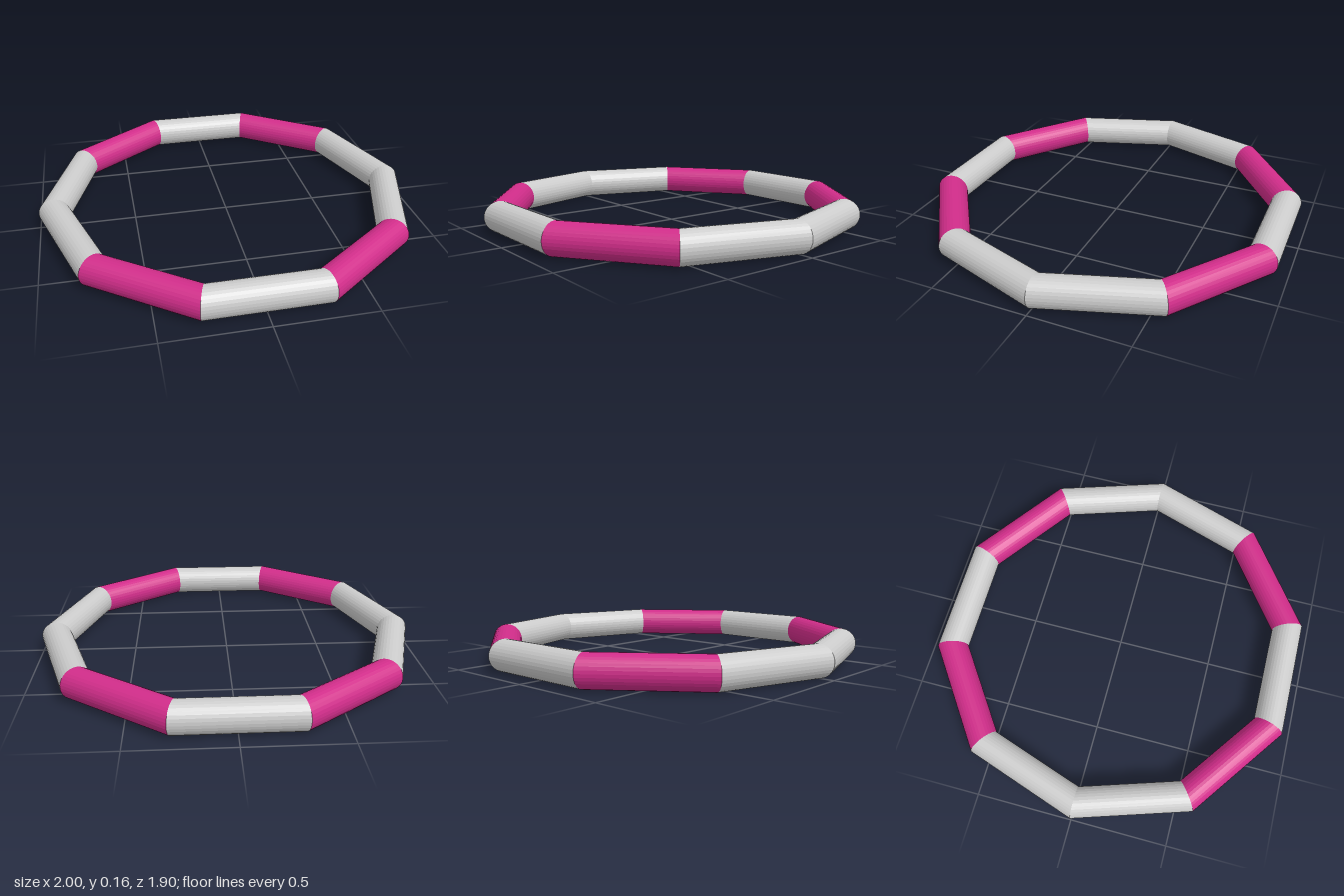
import * as THREE from 'three';

// Ten-sided ring of straight mitred tube sections, lying flat
export function createModel() {
  const sides = 10;
  const tubeRadius = 0.0815;
  const ringRadius = 1 - tubeRadius;
  const step = (Math.PI * 2) / sides;

  const grey = new THREE.MeshStandardMaterial({ color: 0xcccccc, flatShading: true, side: THREE.DoubleSide });
  const pink = new THREE.MeshStandardMaterial({ color: 0xd12d8a, flatShading: true, side: THREE.DoubleSide });

  // One straight section: a torus arc with a single step, laid into the xz plane
  const section = new THREE.TorusGeometry(ringRadius, tubeRadius, 32, 1, step);
  section.rotateX(-Math.PI / 2);

  const ring = new THREE.Group();
  ring.name = 'ring';
  const pinkSections = [1, 3, 6, 8];
  for (let i = 0; i < sides; i++) {
    const isPink = pinkSections.includes(i);
    const mesh = new THREE.Mesh(section, isPink ? pink : grey);
    mesh.name = `${isPink ? 'pink' : 'grey'}Section${i + 1}`;
    mesh.rotation.y = i * step;
    ring.add(mesh);
  }
  ring.position.y = tubeRadius;

  const model = new THREE.Group();
  model.name = 'decagonRing';
  model.add(ring);
  return model;
}
